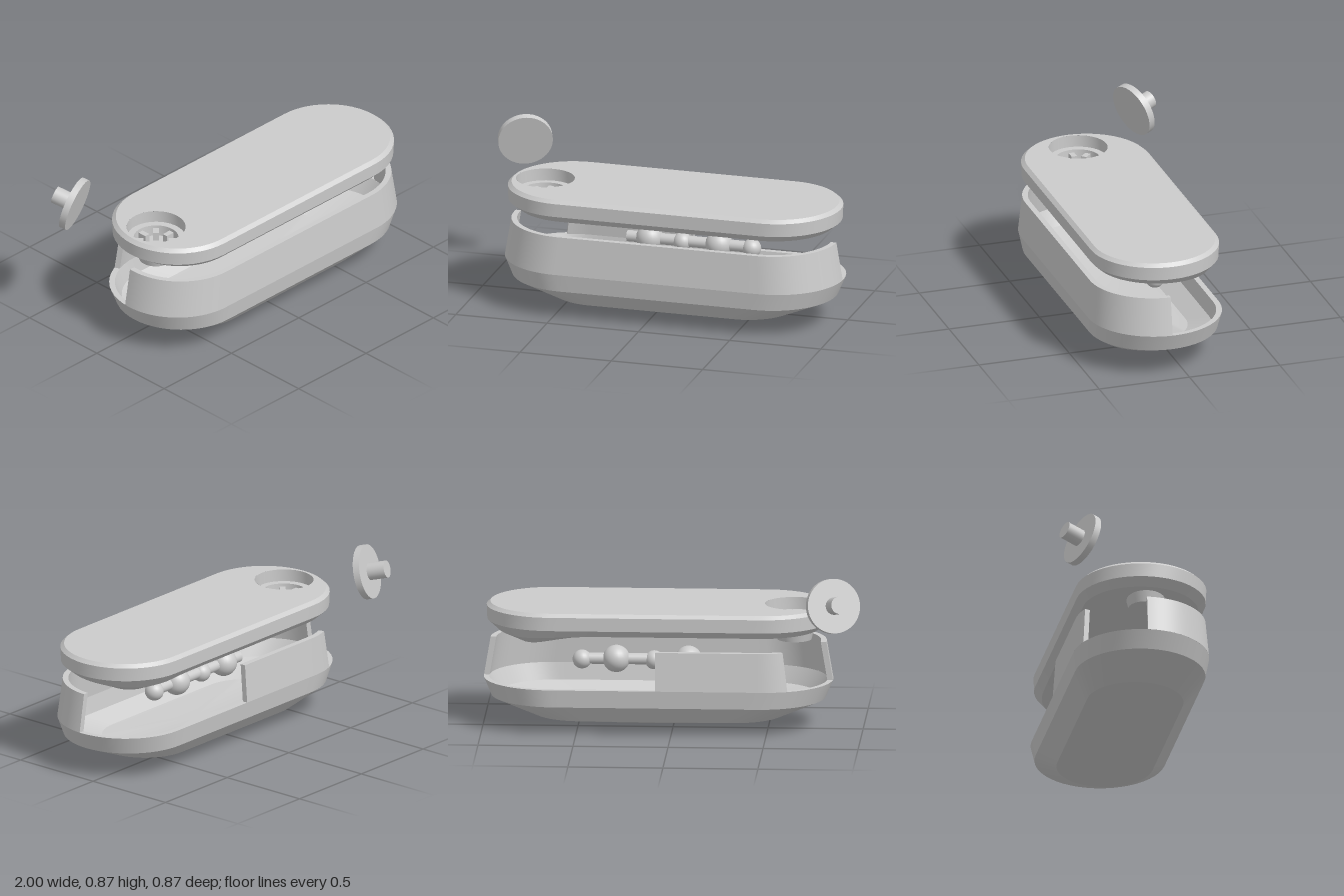
import * as THREE from 'three';
import { toCreasedNormals } from 'three/addons/utils/BufferGeometryUtils.js';

const CX = 0.08, CZ = 0.08; // centre of the case in plan
const mat = new THREE.MeshStandardMaterial({ color: 0xcccccc });
const matTwoSided = new THREE.MeshStandardMaterial({ color: 0xcccccc, side: THREE.DoubleSide });

// Stadium outline pieces: end = cap centre factor (-1..1), nx/nz = radial direction
function arc(side, a0, a1, n = 24) {
  return Array.from({ length: n + 1 }, (_, i) => {
    const a = THREE.MathUtils.degToRad(a0 + (a1 - a0) * i / n);
    return { end: side, nx: side * Math.cos(a), nz: Math.sin(a) };
  });
}
function line(nz, c0, c1, n = 16) {
  return Array.from({ length: n - 1 }, (_, i) => ({ end: c0 + (c1 - c0) * (i + 1) / n, nx: 0, nz }));
}

// Skin a plan path through levels [straight half-length, radius, height]
function loft(path, levels, { closed = false, capped = false, warp } = {}) {
  const n = path.length, pos = [], idx = [];
  for (const [L, r, y] of levels) {
    for (const p of path) {
      const v = new THREE.Vector3(CX + p.end * L + p.nx * r, y, CZ + p.nz * r);
      if (warp) warp(v);
      pos.push(v.x, v.y, v.z);
    }
  }
  for (let i = 0; i < levels.length - 1; i++) {
    for (let j = 0; j < (closed ? n : n - 1); j++) {
      const k = (j + 1) % n, a = i * n + j, b = i * n + k, c = a + n, d = b + n;
      if (levels[i][1] > 0) idx.push(a, c, b);
      if (levels[i + 1][1] > 0) idx.push(b, c, d);
    }
  }
  if (capped) {
    const e = n - 1;
    idx.push(0, 2 * n, n, 0, 3 * n, 2 * n);
    idx.push(e, n + e, 2 * n + e, e, 2 * n + e, 3 * n + e);
  }
  const g = new THREE.BufferGeometry();
  g.setAttribute('position', new THREE.Float32BufferAttribute(pos, 3));
  g.setIndex(idx);
  return toCreasedNormals(g, 0.3);
}

function add(parent, name, geometry, x = 0, y = 0, z = 0, material = mat) {
  const m = new THREE.Mesh(geometry, material);
  m.name = name;
  m.position.set(x, y, z);
  parent.add(m);
  return m;
}

function group(parent, name) {
  const g = new THREE.Group();
  g.name = name;
  parent.add(g);
  return g;
}

export function createModel() {
  const model = new THREE.Group();
  model.name = 'openCase';
  const outline = [...arc(1, -90, 90), ...line(1, 1, -1), ...arc(-1, 90, -90), ...line(-1, -1, 1)];

  // Lower tray: pointed keel, bevelled flanks and hollow inside
  const tray = group(model, 'tray');
  add(tray, 'trayBowl', loft(outline, [
    [0, 0, 0], [0.405, 0.255, 0.062], [0.535, 0.345, 0.155], [0.56, 0.36, 0.25],
    [0.56, 0.33, 0.25], [0.53, 0.315, 0.16], [0.4, 0.23, 0.1], [0, 0, 0.09],
  ], { closed: true }));

  // Upper walls, open at the back corner and at the small end window
  const wall = [[0.56, 0.36, 0.25], [0.54, 0.345, 0.455], [0.54, 0.315, 0.455], [0.56, 0.33, 0.25], [0.56, 0.36, 0.25]];
  const frontPath = [...arc(1, 2, 90), ...line(1, 1, -1), ...arc(-1, 90, -5)];
  const backPath = [...arc(-1, -68, -90, 6), ...line(-1, -1, 0), { end: 0, nx: 0, nz: -1 }];
  add(tray, 'frontWall', loft(frontPath, wall, { capped: true }));
  add(tray, 'backWall', loft(backPath, wall, { capped: true }));

  // Inner shaft with rounded bosses
  const shaft = group(tray, 'innerShaft');
  const rod = add(shaft, 'rod', new THREE.CylinderGeometry(0.03, 0.03, 0.7, 20), 0.15, 0.36, 0.02);
  rod.rotation.z = Math.PI / 2;
  for (const x of [0.48, 0.1]) {
    add(shaft, 'smallBall', new THREE.SphereGeometry(0.05, 24, 16), x, 0.355, 0.02);
    add(shaft, 'largeBall', new THREE.SphereGeometry(0.072, 24, 16), x - 0.18, 0.36, 0.02);
  }

  // Lid: bevelled rim, rounded underside with a local bulge towards one end
  const lid = group(model, 'lid');
  const bulge = (v) => {
    if (v.y < 0.53) v.y -= 0.06 * Math.exp(-(((v.x - 0.72) / 0.15) ** 2) - ((v.z / 0.17) ** 2));
  };
  add(lid, 'lidShell', loft(outline, [
    [0, 0, 0.512], [0.2, 0.03, 0.512], [0.36, 0.08, 0.512], [0.46, 0.14, 0.51], [0.52, 0.22, 0.51],
    [0.545, 0.305, 0.528], [0.56, 0.342, 0.565], [0.56, 0.345, 0.637], [0.56, 0.325, 0.655],
  ], { closed: true, warp: bulge }));

  // Flat top with a round opening for the knob
  const HX = -0.635, HZ = 0.075, R = 0.155;
  const top = new THREE.Shape(outline.map((p) =>
    new THREE.Vector2(CX + p.end * 0.56 + p.nx * 0.325, -(CZ + p.nz * 0.325))));
  top.holes.push(new THREE.Path().absarc(HX, -HZ, R, 0, Math.PI * 2, true));
  add(lid, 'lidTop', new THREE.ShapeGeometry(top, 32).rotateX(-Math.PI / 2), 0, 0.655, 0);

  // Knob seat: stepped recess, toothed socket and hub below
  const seat = group(lid, 'knobSeat');
  seat.position.set(HX, 0, HZ);
  const profile = [[R, 0.655], [R, 0.59], [0.118, 0.59], [0.115, 0.53], [0.001, 0.53]]
    .map(([r, y]) => new THREE.Vector2(r, y));
  add(seat, 'recess', toCreasedNormals(new THREE.LatheGeometry(profile, 48), 0.5), 0, 0, 0, matTwoSided);
  add(seat, 'hub', new THREE.CylinderGeometry(0.105, 0.09, 0.06, 40), 0, 0.495, 0);
  for (let i = 0; i < 8; i++) {
    const a = i * Math.PI / 4;
    const tooth = add(seat, 'tooth', new THREE.BoxGeometry(0.05, 0.045, 0.03),
      0.09 * Math.cos(a), 0.552, -0.09 * Math.sin(a));
    tooth.rotation.y = a;
  }

  // Loose knob: tilted disc with a pin
  const knob = group(model, 'knob');
  knob.position.set(-0.858, 0.727, -0.307);
  knob.quaternion.setFromUnitVectors(new THREE.Vector3(0, 1, 0), new THREE.Vector3(-0.35, 0.25, -0.9).normalize());
  add(knob, 'knobDisc', new THREE.CylinderGeometry(0.144, 0.144, 0.036, 48));
  add(knob, 'knobPin', new THREE.CylinderGeometry(0.046, 0.046, 0.1, 32), 0, 0.066, 0);

  return model;
}
